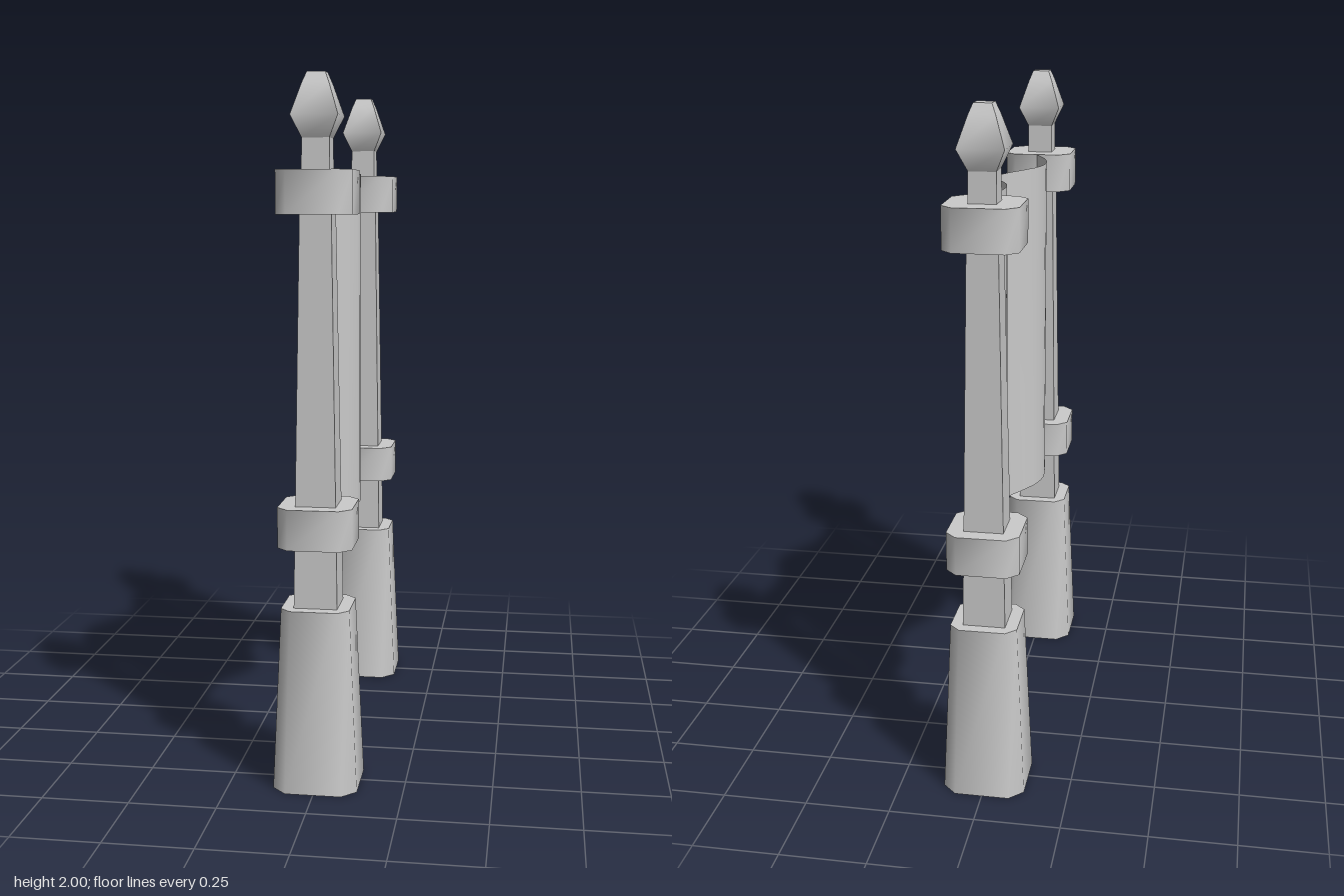
import * as THREE from 'three';
import { toCreasedNormals } from 'three/addons/utils/BufferGeometryUtils.js';

const grey = new THREE.MeshStandardMaterial({ color: 0xcccccc });
const clothGrey = new THREE.MeshStandardMaterial({ color: 0xcccccc, side: THREE.DoubleSide });

// Outline of a square with optional cut corners, counterclockwise from above
function outline(half, cut) {
  const inner = half - cut;
  const points = [];
  for (let i = 0; i < 4; i++) {
    const c = [1, 0, -1, 0][i], s = [0, 1, 0, -1][i];
    const turn = (px, pz) => [px * c + pz * s, -px * s + pz * c];
    if (cut > 0) points.push(turn(half, inner));
    points.push(turn(half, cut > 0 ? -inner : -half));
  }
  return points;
}

// Closed solid through rings of [y, half width, corner cut]
function loft(name, rings) {
  const pos = [], index = [];
  const n = rings[0][2] > 0 ? 8 : 4;
  for (const [y, half, cut] of rings) {
    for (const [x, z] of outline(half, cut)) pos.push(x, y, z);
  }
  for (let r = 0; r < rings.length - 1; r++) {
    for (let i = 0; i < n; i++) {
      const a = r * n + i, b = r * n + (i + 1) % n;
      index.push(a, b, b + n, a, b + n, a + n);
    }
  }
  const top = (rings.length - 1) * n;
  for (let i = 1; i < n - 1; i++) {
    index.push(0, i + 1, i, top, top + i, top + i + 1);
  }
  const geo = new THREE.BufferGeometry();
  geo.setAttribute('position', new THREE.Float32BufferAttribute(pos, 3));
  geo.setIndex(index);
  const mesh = new THREE.Mesh(toCreasedNormals(geo, 0.9), grey);
  mesh.name = name;
  return mesh;
}

function createPost(name, z) {
  const post = new THREE.Group();
  post.name = name;
  post.add(
    loft('base', [[0, 0.12, 0.04], [0.525, 0.097, 0.03]]),
    loft('shaft', [[0.5, 0.062, 0], [1.74, 0.042, 0]]),
    loft('lowerCollar', [[0.7, 0.105, 0.033], [0.815, 0.105, 0.033]]),
    loft('upperCollar', [[1.62, 0.105, 0.033], [1.74, 0.105, 0.033]]),
    loft('neck', [[1.73, 0.039, 0], [1.825, 0.038, 0]]),
    loft('finial', [[1.825, 0.038, 0], [1.885, 0.065, 0], [1.97, 0.037, 0], [2, 0.025, 0]])
  );
  post.position.z = z;
  return post;
}

// Rippled sheet hung between the collars
function createCloth() {
  const ripple = new THREE.CatmullRomCurve3([
    [0, 0.405], [-0.045, 0.3], [-0.058, 0.2], [-0.04, 0.12], [0.04, -0.03],
    [0.038, -0.11], [-0.004, -0.2], [-0.015, -0.27], [0, -0.405]
  ].map(([x, z]) => new THREE.Vector3(x, 0, z)));
  const steps = 24;
  const path = ripple.getPoints(steps);
  const geo = new THREE.PlaneGeometry(1, 1.04, steps, 1);
  const pos = geo.attributes.position;
  for (let i = 0; i < pos.count; i++) {
    const p = path[i % (steps + 1)];
    pos.setXYZ(i, p.x, pos.getY(i) + 1.22, p.z);
  }
  geo.computeVertexNormals();
  const cloth = new THREE.Mesh(geo, clothGrey);
  cloth.name = 'cloth';
  return cloth;
}

export function createModel() {
  const model = new THREE.Group();
  model.name = 'bannerBetweenPosts';
  model.add(createPost('frontPost', 0.51), createPost('backPost', -0.51), createCloth());
  return model;
}
